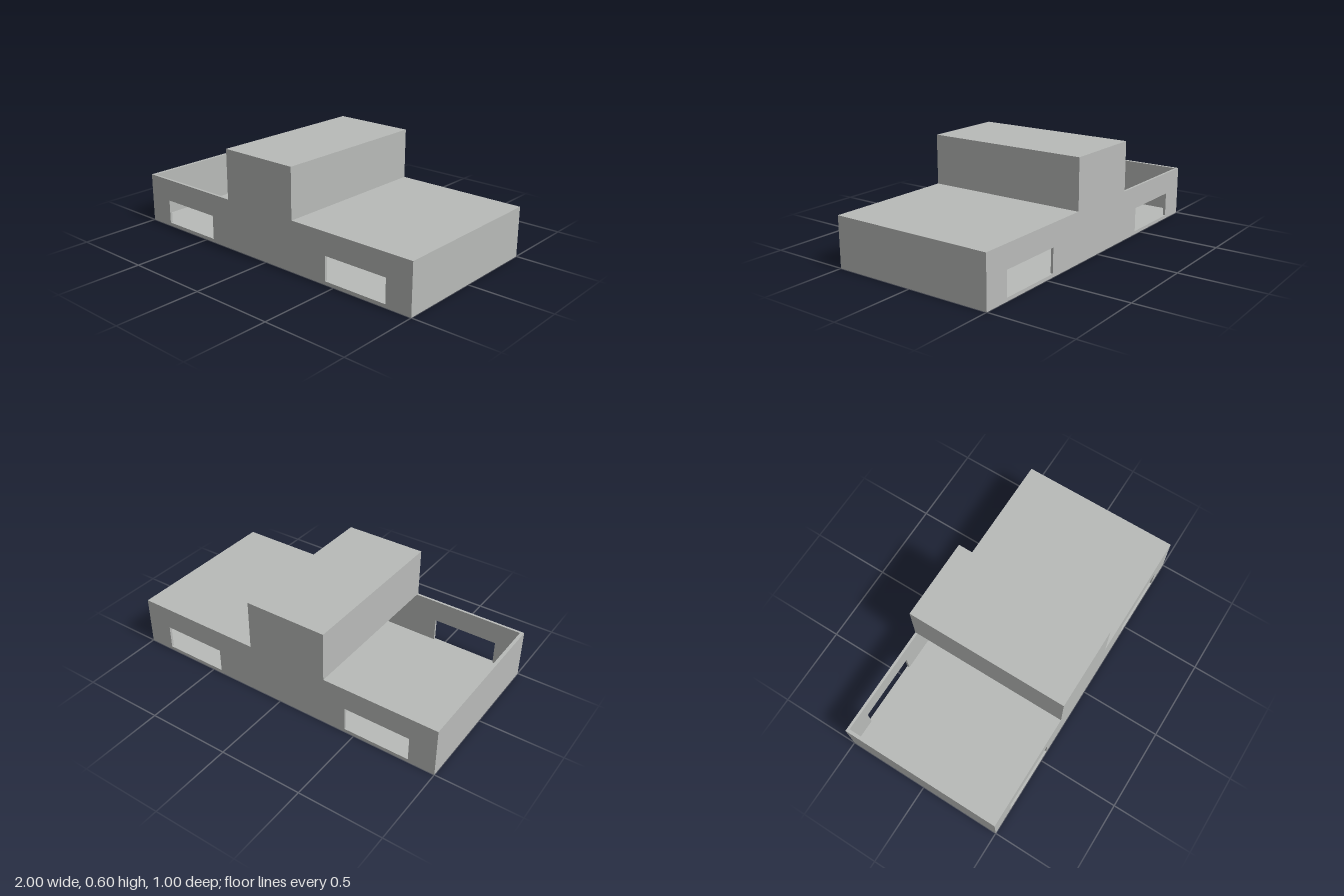
import * as THREE from 'three';

const SIDE = 0.015; // side wall thickness
const T = 0.02;     // thickness of every other panel
const DEPTH = 1;

export function createModel() {
  const model = new THREE.Group();
  model.name = 'truckShell';
  const grey = new THREE.MeshStandardMaterial({ color: 0xb9bbb9 });
  grey.name = 'plainGrey';

  // Side silhouette: bed, cab and bonnet, with two wheel openings
  const outline = new THREE.Shape([
    [-1, 0], [1, 0], [1, 0.3], [0.2, 0.3], [0.2, 0.6],
    [-0.3, 0.6], [-0.3, 0.3], [-1, 0.3],
  ].map(([x, y]) => new THREE.Vector2(x, y)));
  for (const x of [-0.64, 0.64]) {
    outline.holes.push(new THREE.Path([
      [x - 0.2, 0.02], [x - 0.2, 0.165], [x + 0.2, 0.165], [x + 0.2, 0.02],
    ].map(([px, py]) => new THREE.Vector2(px, py))));
  }
  const wall = new THREE.ExtrudeGeometry(outline, { depth: SIDE, bevelEnabled: false });
  for (const [name, z] of [['frontSideWall', DEPTH / 2 - SIDE], ['backSideWall', -DEPTH / 2]]) {
    const mesh = new THREE.Mesh(wall, grey);
    mesh.name = name;
    mesh.position.z = z;
    model.add(mesh);
  }

  // Panels spanning between the side walls; the bed opens into the cab below
  const panel = (name, x0, x1, y0, y1) => {
    const mesh = new THREE.Mesh(
      new THREE.BoxGeometry(x1 - x0, y1 - y0, DEPTH - 2 * SIDE), grey);
    mesh.name = name;
    mesh.position.set((x0 + x1) / 2, (y0 + y1) / 2, 0);
    model.add(mesh);
  };
  panel('floor', -1, 1, 0, T);
  panel('tailgate', -1, -1 + T, T, 0.3);
  panel('nose', 1 - T, 1, T, 0.3);
  panel('bonnet', 0.2 - T, 1 - T, 0.3 - T, 0.3);
  panel('cabFrontWall', 0.2 - T, 0.2, 0.3, 0.6);
  panel('cabRearWall', -0.3, -0.3 + T, 0.3, 0.6);
  panel('cabRoof', -0.3 + T, 0.2 - T, 0.6 - T, 0.6);
  return model;
}
